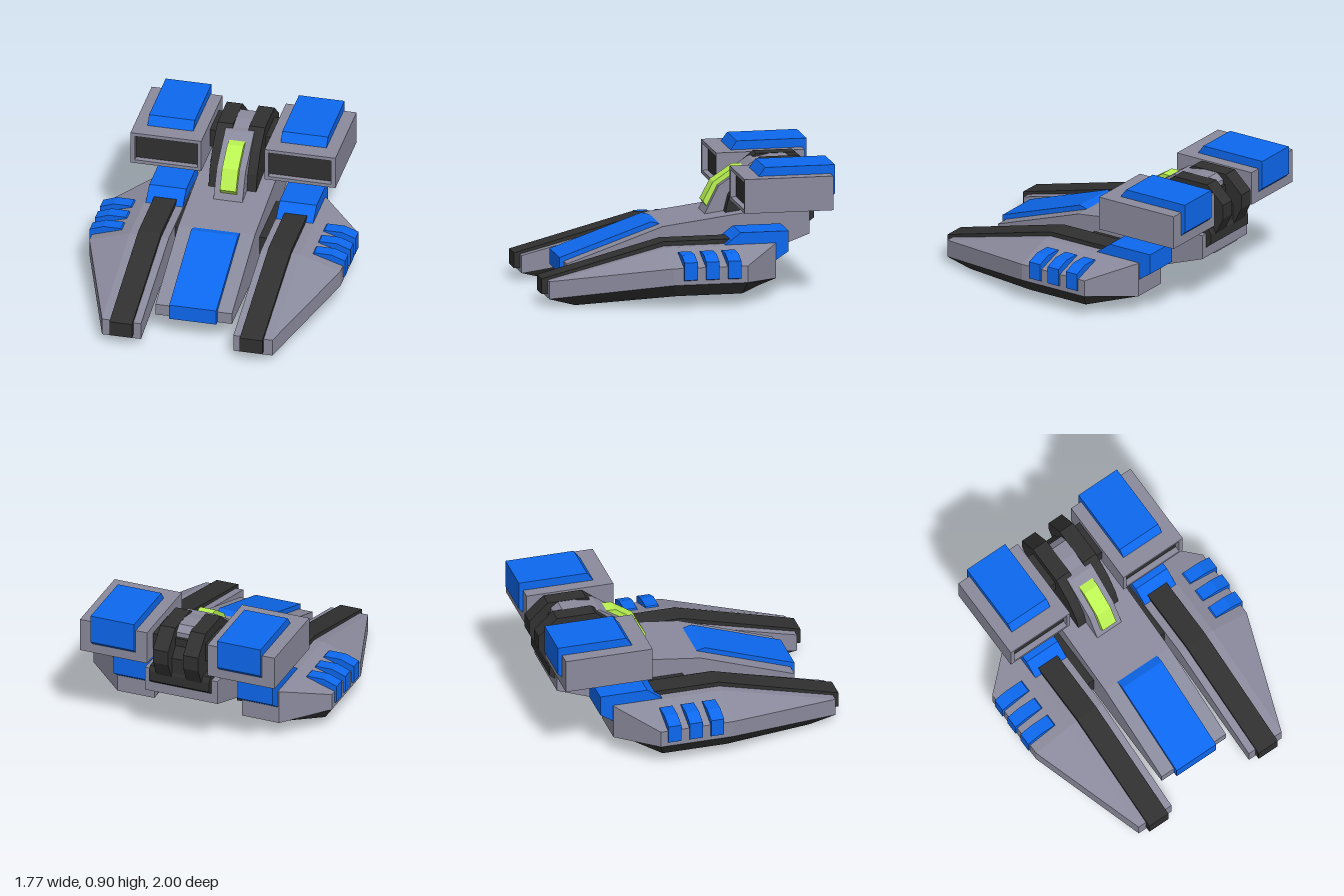
import * as THREE from 'three';

const material = (color) => new THREE.MeshStandardMaterial({ color, flatShading: true });

// Plain faceted geometry without shared corners
function facet(geo) {
  const g = geo.index ? geo.toNonIndexed() : geo;
  g.computeVertexNormals();
  return g;
}

// Side profile of [z, y] points, extruded from x0 to x1
function slab(points, x0, x1, hole) {
  const shape = new THREE.Shape(points.map((p) => new THREE.Vector2(...p)));
  if (hole) shape.holes.push(new THREE.Path(hole.map((p) => new THREE.Vector2(...p))));
  const g = new THREE.ExtrudeGeometry(shape, { depth: x1 - x0, bevelEnabled: false });
  return facet(g.rotateY(-Math.PI / 2).translate(x1, 0, 0));
}

// Front profile of [x, y] points, extruded from z0 to z1
function plate(points, z0, z1, hole) {
  const shape = new THREE.Shape(points.map((p) => new THREE.Vector2(...p)));
  if (hole) shape.holes.push(new THREE.Path(hole.map((p) => new THREE.Vector2(...p))));
  return facet(new THREE.ExtrudeGeometry(shape, { depth: z1 - z0, bevelEnabled: false }).translate(0, 0, z0));
}

const rect = (x0, x1, y0, y1) => [[x0, y0], [x1, y0], [x1, y1], [x0, y1]];
const block = (x0, x1, y0, y1, z0, z1) => plate(rect(x0, x1, y0, y1), z0, z1);

// Skin over rings of [x, y, z] points, running front to back
function loft(rings) {
  const n = rings[0].length, index = [];
  for (let i = 0; i < rings.length - 1; i++) {
    for (let j = 0; j < n; j++) {
      const k = (j + 1) % n;
      const a = i * n + j, b = i * n + k, c = b + n, d = a + n;
      index.push(a, b, c, a, c, d);
    }
  }
  const last = (rings.length - 1) * n;
  for (let j = 1; j < n - 1; j++) index.push(0, j + 1, j, last, last + j, last + j + 1);
  const g = new THREE.BufferGeometry();
  g.setAttribute('position', new THREE.Float32BufferAttribute(rings.flat(2), 3));
  g.setIndex(index);
  return facet(g);
}

// Mirror across x = 0, keeping the faces turned outward
function mirror(geo) {
  const g = geo.clone().scale(-1, 1, 1);
  const p = g.attributes.position, a = new THREE.Vector3(), b = new THREE.Vector3();
  for (let i = 0; i < p.count; i += 3) {
    a.fromBufferAttribute(p, i + 1);
    b.fromBufferAttribute(p, i + 2);
    p.setXYZ(i + 1, b.x, b.y, b.z);
    p.setXYZ(i + 2, a.x, a.y, a.z);
  }
  g.computeVertexNormals();
  return g;
}

export function createModel() {
  const model = new THREE.Group();
  model.name = 'hoverTank';
  const grey = material(0x8a8a9d), dark = material(0x303030);
  const blue = material(0x0d68ee), green = material(0xbaf252);

  const add = (name, geo, mat) => {
    const mesh = new THREE.Mesh(geo, mat);
    mesh.name = name;
    model.add(mesh);
  };
  const pair = (name, geo, mat) => {
    add(name + 'Left', geo, mat);
    add(name + 'Right', mirror(geo), mat);
  };

  // Central body with its nose panel
  add('body', slab([[0.77, 0.14], [0.77, 0.22], [0.11, 0.45], [-0.52, 0.53], [-0.9, 0.53],
    [-0.9, 0.36], [-0.3, 0.14]], -0.265, 0.265), grey);
  add('nosePanel', slab([[0.8, 0.138], [0.8, 0.245], [0.17, 0.465], [0.11, 0.45], [0.11, 0.2],
    [0.7, 0.138]], -0.163, 0.163), blue);

  // Pontoon hulls: z, outer x, top y, outer edge y, bottom y
  const hull = [
    [0.96, 0.59, 0.17, 0.17, 0.05],
    [0.16, 0.87, 0.37, 0.28, 0.165],
    [-0.35, 0.87, 0.37, 0.28, 0.165],
    [-0.6, 0.59, 0.37, 0.37, 0.13],
  ];
  pair('pontoon', loft(hull.map(([z, x, top, edge, low]) =>
    [[0.32, top, z], [0.59, top, z], [x, edge, z], [x, low, z], [0.32, low, z]])), grey);

  // Keels under the pontoons: z, outer x, y of the inset lower outline
  const keel = [[0.78, 0.58, 0], [0.13, 0.81, 0.08], [-0.32, 0.81, 0.08], [-0.48, 0.57, 0.08]];
  pair('keel', loft(hull.map(([z, x, , , low], i) => {
    const [kz, kx, ky] = keel[i];
    return [[0.32, low, z], [x, low, z], [kx, ky, kz], [0.36, ky, kz]];
  })), dark);

  // Long rails on the pontoons, rear blocks and connecting struts
  pair('rail', slab([[1, 0.075], [1, 0.18], [0.16, 0.4], [-0.3, 0.4], [-0.3, 0.25],
    [0.16, 0.25], [0.9, 0.075]], 0.373, 0.53), dark);
  pair('rearBlock', slab([[-0.255, 0.37], [-0.36, 0.45], [-0.69, 0.45], [-0.69, 0.31],
    [-0.6, 0.25], [-0.3, 0.25]], 0.323, 0.58), blue);
  pair('strut', block(0.24, 0.34, 0.18, 0.355, -0.5, -0.02), dark);

  // Three clips over each outer edge
  for (let i = 0; i < 3; i++) {
    const z = 0.0 - i * 0.15;
    pair('clip' + (i + 1), plate([[0.645, 0.33], [0.67, 0.355], [0.79, 0.355], [0.885, 0.32],
      [0.885, 0.2], [0.86, 0.19], [0.7, 0.2]], z, z + 0.09), blue);
  }

  // Turret: base, arched arms, cowl, spine and window
  add('turretBase', slab([[-0.61, 0.5], [-0.61, 0.53], [-0.72, 0.565], [-0.92, 0.565],
    [-0.94, 0.53], [-0.94, 0.46], [-0.9, 0.43], [-0.7, 0.43]], -0.22, 0.22), dark);
  pair('turretArm', slab([[-0.34, 0.5], [-0.37, 0.62], [-0.46, 0.75], [-0.6, 0.86], [-0.87, 0.86],
    [-1, 0.74], [-1, 0.64], [-0.94, 0.52], [-0.88, 0.48]], 0.055, 0.165), dark);
  add('turretCore', slab([[-0.5, 0.5], [-0.5, 0.74], [-0.84, 0.76], [-0.93, 0.66], [-0.93, 0.5]],
    -0.06, 0.06), dark);
  add('cowl', slab([[-0.21, 0.485], [-0.31, 0.68], [-0.55, 0.84], [-0.64, 0.84], [-0.64, 0.5]],
    -0.1, 0.1), grey);
  add('spine', slab([[-0.6, 0.6], [-0.6, 0.84], [-0.69, 0.858], [-0.8, 0.858], [-0.85, 0.82],
    [-0.85, 0.6]], -0.055, 0.055), grey);
  add('window', slab([[-0.235, 0.535], [-0.21, 0.57], [-0.28, 0.7], [-0.43, 0.8], [-0.49, 0.8],
    [-0.49, 0.7], [-0.35, 0.6]], -0.056, 0.056), green);
  add('axle', block(-0.25, 0.25, 0.655, 0.785, -0.87, -0.61), dark);

  // Weapon pods with a recessed front and a cap folded over the back
  pair('podFrame', plate(rect(0.22, 0.71, 0.605, 0.84), -0.42, -0.36,
    rect(0.245, 0.68, 0.63, 0.815)), grey);
  pair('podBody', block(0.22, 0.71, 0.605, 0.84, -0.97, -0.42), grey);
  pair('podOpening', block(0.245, 0.68, 0.63, 0.815, -0.43, -0.4), dark);
  pair('podCap', slab([[-0.475, 0.838], [-0.52, 0.9], [-1, 0.9], [-1, 0.7], [-0.968, 0.67],
    [-0.94, 0.7], [-0.94, 0.838]], 0.303, 0.62), blue);

  return model;
}
